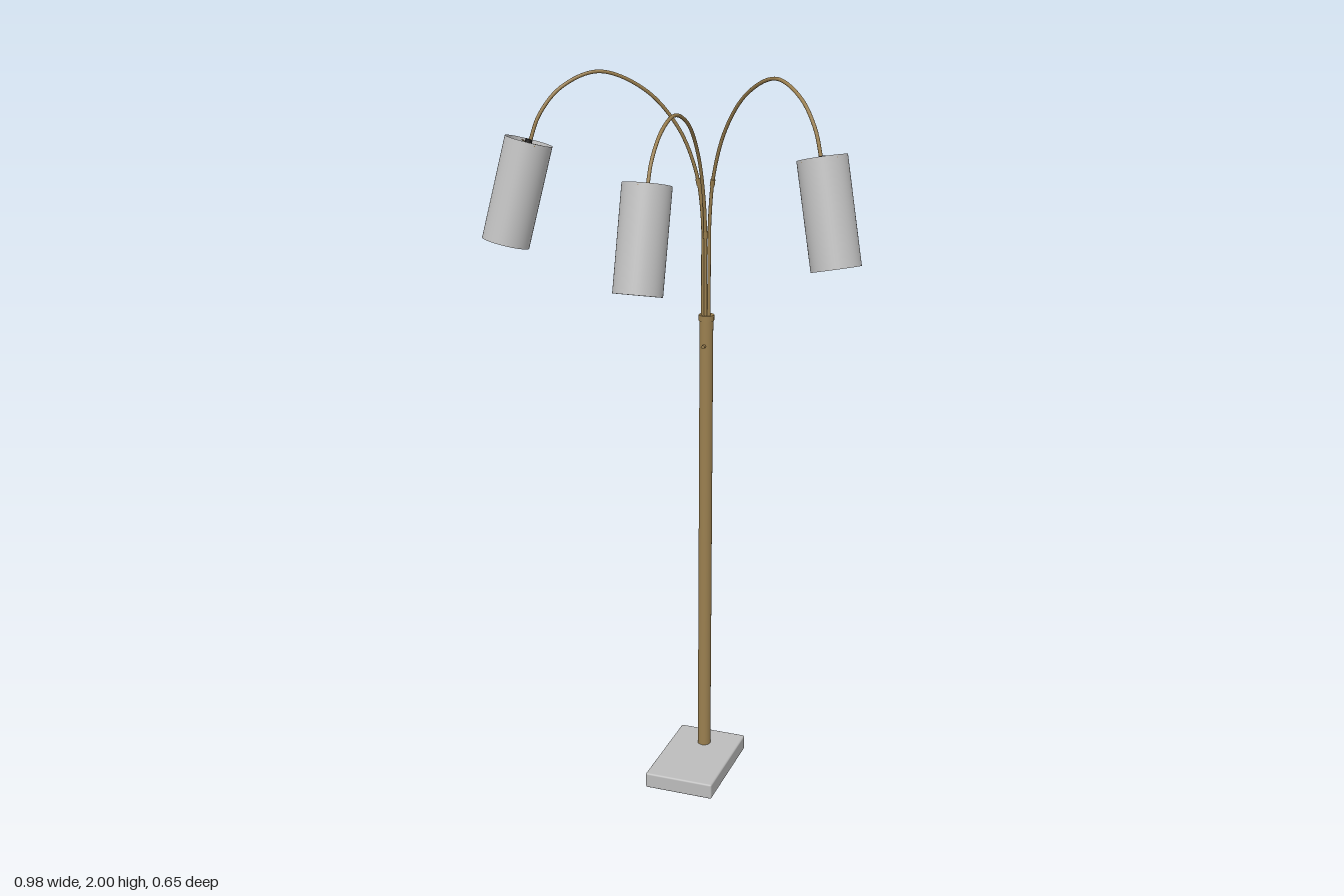
import * as THREE from 'three';
import { RoundedBoxGeometry } from 'three/addons/geometries/RoundedBoxGeometry.js';

const POLE_X = -0.016, POLE_Z = -0.246, TILT = 0.262, SHADE_R = 0.061, SHADE_H = 0.263;

export function createModel() {
  const grey = new THREE.MeshStandardMaterial({ color: 0xbcbcbc });
  grey.name = 'light grey';
  const shadeGrey = new THREE.MeshStandardMaterial({ color: 0xc0c0c0, side: THREE.DoubleSide });
  shadeGrey.name = 'shade grey';
  const brass = new THREE.MeshStandardMaterial({ color: 0x9a7f4f });
  brass.name = 'brass';
  const black = new THREE.MeshStandardMaterial({ color: 0x1c1a18 });
  black.name = 'black';

  const lamp = new THREE.Group();
  lamp.name = 'floorLamp';

  function add(parent, name, geometry, material, x = 0, y = 0, z = 0) {
    const mesh = new THREE.Mesh(geometry, material);
    mesh.name = name;
    mesh.position.set(x, y, z);
    parent.add(mesh);
    return mesh;
  }
  const rod = (r, h, sides = 24) => new THREE.CylinderGeometry(r, r, h, sides);

  // Slab foot, offset forward of the pole
  add(lamp, 'base', new RoundedBoxGeometry(0.198, 0.045, 0.308, 3, 0.005), grey, -0.015, 0.0225, -0.172);

  // Pole with a collar and set screws
  const pole = new THREE.Group();
  pole.name = 'poleAssembly';
  pole.position.set(POLE_X, 0, POLE_Z);
  lamp.add(pole);
  add(pole, 'pole', rod(0.0185, 1.295, 32), brass, 0, 0.6925, 0);
  add(pole, 'collar', rod(0.021, 0.016, 32), brass, 0, 1.336, 0);
  add(pole, 'frontScrew', rod(0.005, 0.012, 12), brass, 0, 1.26, 0.022).rotation.x = Math.PI / 2;
  add(pole, 'backScrew', rod(0.005, 0.012, 12), brass, 0, 1.325, -0.022).rotation.x = Math.PI / 2;

  // Shade, open at both ends, with its wire spider, socket and bulb
  function makeShade() {
    const shade = new THREE.Group();
    shade.name = 'shade';
    const wall = new THREE.CylinderGeometry(SHADE_R, SHADE_R, SHADE_H, 48, 1, true);
    add(shade, 'shadeWall', wall, shadeGrey, 0, -SHADE_H / 2, 0);
    for (let i = 0; i < 2; i++) {
      const wire = add(shade, 'spiderWire', rod(0.0013, SHADE_R * 2, 8), brass, 0, -0.006, 0);
      wire.rotation.set(Math.PI / 2, 0, i * Math.PI / 2);
    }
    add(shade, 'socketCap', rod(0.009, 0.014, 20), black, 0, -0.003, 0);
    add(shade, 'socket', rod(0.012, 0.05, 20), black, 0, -0.035, 0);
    const bulb = add(shade, 'bulb', new THREE.SphereGeometry(0.021, 24, 16), grey, 0, -0.085, 0);
    bulb.scale.y = 1.3;
    return shade;
  }

  // Arm profiles as [distance from pole, height]
  const middlePath = [[0.009, 1.33], [0.01, 1.45], [0.012, 1.56], [0.026, 1.66], [0.071, 1.78],
    [0.146, 1.868], [0.25, 1.904], [0.345, 1.875], [0.41, 1.815], [0.438, 1.755]];
  const sidePath = [[0.011, 1.33], [0.011, 1.47], [0.013, 1.61], [0.03, 1.725], [0.08, 1.845],
    [0.17, 1.945], [0.292, 1.995], [0.39, 1.96], [0.448, 1.895], [0.477, 1.82]];

  const arms = [
    { name: 'middleArm', path: middlePath, heading: 0, reach: 1, sleeveTop: 1.56 },
    { name: 'rightArm', path: sidePath, heading: -0.882, reach: 1, sleeveTop: 1.7 },
    { name: 'leftArm', path: sidePath, heading: 0.902, reach: 1.045, sleeveTop: 1.7 },
  ];
  for (const { name, path, heading, reach, sleeveTop } of arms) {
    const arm = new THREE.Group();
    arm.name = name;
    arm.position.set(POLE_X, 0, POLE_Z);
    arm.rotation.y = heading;
    lamp.add(arm);

    const points = path.map(([d, y]) => new THREE.Vector3(0, y, d * reach));
    const curve = new THREE.CatmullRomCurve3(points);
    add(arm, name + 'Tube', new THREE.TubeGeometry(curve, 90, 0.0046, 10), brass);

    // Small joint ring where the bend begins
    const t = [...Array(200).keys()].find((i) => curve.getPoint(i / 199).y >= sleeveTop) / 199;
    const joint = add(arm, 'armJoint', rod(0.0065, 0.018, 16), brass);
    joint.position.copy(curve.getPoint(t));
    joint.quaternion.setFromUnitVectors(new THREE.Vector3(0, 1, 0), curve.getTangent(t));

    const end = points[points.length - 1];
    const shade = makeShade();
    shade.position.set(0, end.y + 0.012, end.z);
    shade.rotation.x = -TILT;
    arm.add(shade);
  }
  return lamp;
}
